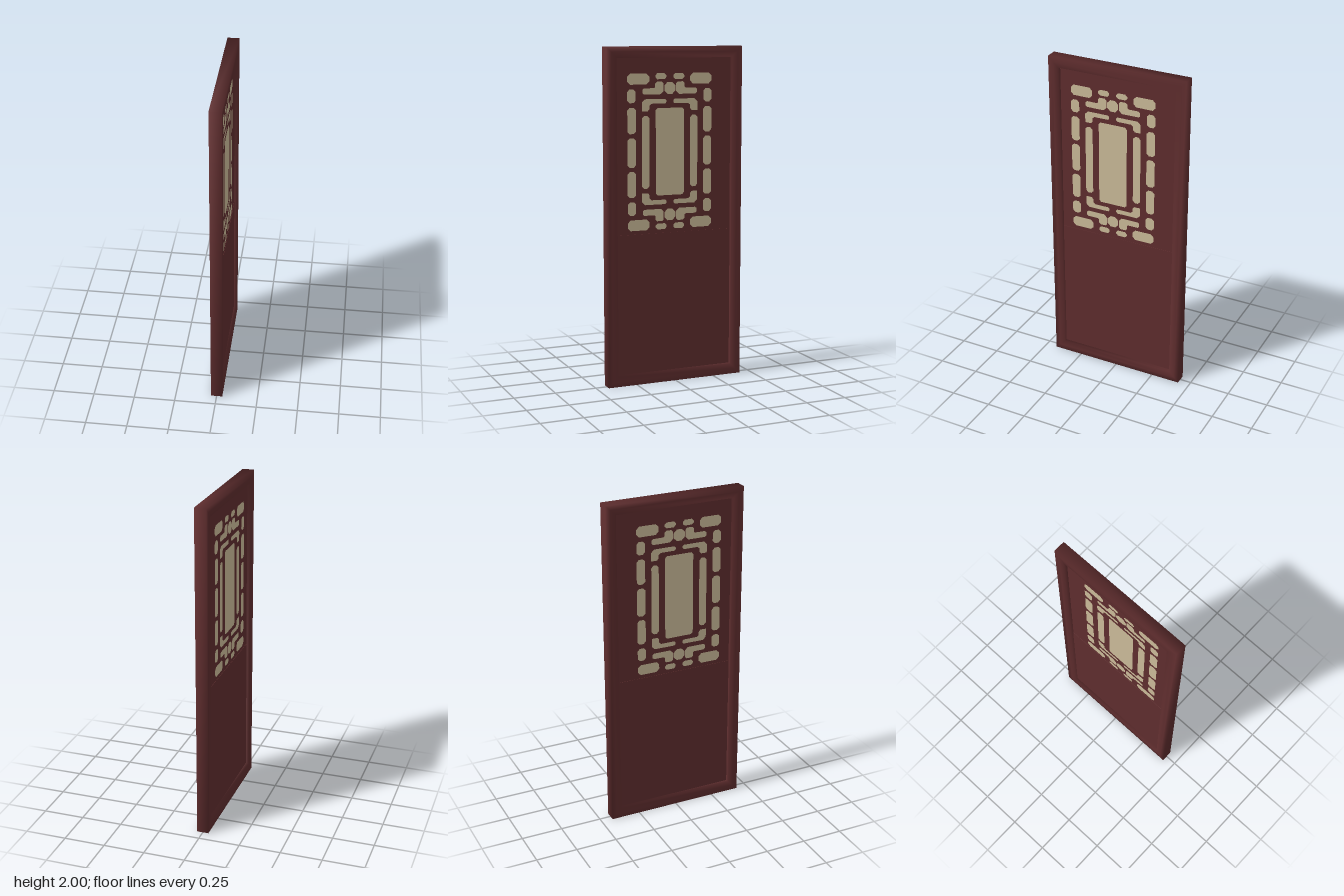
import * as THREE from 'three';
import { mergeGeometries } from 'three/addons/utils/BufferGeometryUtils.js';

const HALF_W = 0.43, HEIGHT = 2, HALF_T = 0.035;
const UPPER_T = 0.015, LOWER_T = 0.017, SPLIT_Y = 0.905;

const wood = new THREE.MeshStandardMaterial({ color: 0x5f2d2e });
wood.name = 'dark red wood';
const paper = new THREE.MeshStandardMaterial({ color: 0xcbbb99 });
paper.name = 'cream paper';

// Mitred frame: one cross-section (inset, x) carried round the four corners
function frameGeometry() {
  const section = [
    [0, -HALF_T], [0, HALF_T], [0.03, HALF_T], [0.062, HALF_T], [0.067, 0.012],
    [0.067, -0.012], [0.062, -HALF_T], [0.03, -HALF_T],
  ];
  const n = section.length, positions = [], index = [];
  for (const [sz, top] of [[1, 0], [-1, 0], [-1, 1], [1, 1]]) {
    for (const [inset, x] of section) {
      positions.push(x, top ? HEIGHT - inset : inset, sz * (HALF_W - inset));
    }
  }
  for (let c = 0; c < 4; c++) {
    for (let i = 0; i < n; i++) {
      const j = (i + 1) % n, d = ((c + 1) % 4) * n;
      const a = c * n + i, b = c * n + j, e = d + j, f = d + i;
      index.push(a, f, b, b, f, e);
    }
  }
  const g = new THREE.BufferGeometry();
  g.setAttribute('position', new THREE.Float32BufferAttribute(positions, 3));
  g.setIndex(index);
  g.computeVertexNormals();
  return g;
}

// Rectangle with cut corners, as a point list
function cell(u0, u1, v0, v1, c = 0.014) {
  return [
    [u0 + c, v0], [u1 - c, v0], [u1, v0 + c], [u1, v1 - c],
    [u1 - c, v1], [u0 + c, v1], [u0, v1 - c], [u0, v0 + c],
  ];
}

// All lattice openings, measured from the centre of the lattice
function latticeGeometry() {
  const quarter = [
    cell(-0.268, -0.13, 0.395, 0.459, 0.018),  // corner
    cell(-0.268, -0.215, 0.289, 0.368),        // outer column
    cell(-0.268, -0.215, 0.11, 0.262),
    cell(-0.092, -0.022, 0.424, 0.459, 0.012), // small top opening
    // L-shaped bracket
    [[-0.177, 0.24], [-0.14, 0.24], [-0.13, 0.252], [-0.13, 0.272], [-0.118, 0.283],
      [-0.03, 0.283], [-0.022, 0.291], [-0.022, 0.302], [-0.03, 0.31], [-0.158, 0.31],
      [-0.177, 0.292]],
    // stepped opening
    [[-0.173, 0.345], [-0.163, 0.337], [-0.058, 0.337], [-0.04, 0.355], [-0.04, 0.4],
      [-0.05, 0.41], [-0.082, 0.41], [-0.093, 0.4], [-0.093, 0.38], [-0.1, 0.373],
      [-0.163, 0.373], [-0.173, 0.365]],
  ];
  const outlines = [cell(-0.09, 0.09, -0.257, 0.257, 0.012)]; // central window
  for (const su of [1, -1]) {
    for (const sv of [1, -1]) {
      for (const q of quarter) outlines.push(q.map(([u, v]) => [u * su, v * sv]));
    }
    for (const [u0, u1, h] of [[-0.268, -0.215, 0.086], [-0.177, -0.13, 0.213]]) {
      outlines.push(cell(u0, u1, -h, h).map(([u, v]) => [u * su, v]));
    }
  }
  // round openings above and below the window
  for (const sv of [1, -1]) {
    outlines.push(cell(-0.035, 0.035, sv * 0.373 - 0.035, sv * 0.373 + 0.035, 0.02));
  }
  return mergeGeometries(outlines.map((pts) => new THREE.ShapeGeometry(
    new THREE.Shape(pts.map(([u, v]) => new THREE.Vector2(u, v))))));
}

export function createModel() {
  const door = new THREE.Group();
  door.name = 'door';

  const add = (name, geometry, material) => {
    const mesh = new THREE.Mesh(geometry, material);
    mesh.name = name;
    door.add(mesh);
    return mesh;
  };

  add('frame', frameGeometry(), wood);

  // Recessed panels; the lower one stands slightly proud
  const panel = (name, t, y0, y1) => {
    add(name, new THREE.BoxGeometry(2 * t, y1 - y0, 0.74), wood).position.y = (y0 + y1) / 2;
  };
  panel('upperPanel', UPPER_T, SPLIT_Y, 1.95);
  panel('lowerPanel', LOWER_T, 0.05, SPLIT_Y);

  // Lattice openings on both faces
  const lattice = latticeGeometry();
  for (const s of [1, -1]) {
    const mesh = add(s > 0 ? 'leftLattice' : 'rightLattice', lattice, paper);
    mesh.rotation.y = s * Math.PI / 2;
    mesh.position.set(s * (UPPER_T + 0.001), 1.386, 0.029);
  }
  return door;
}
